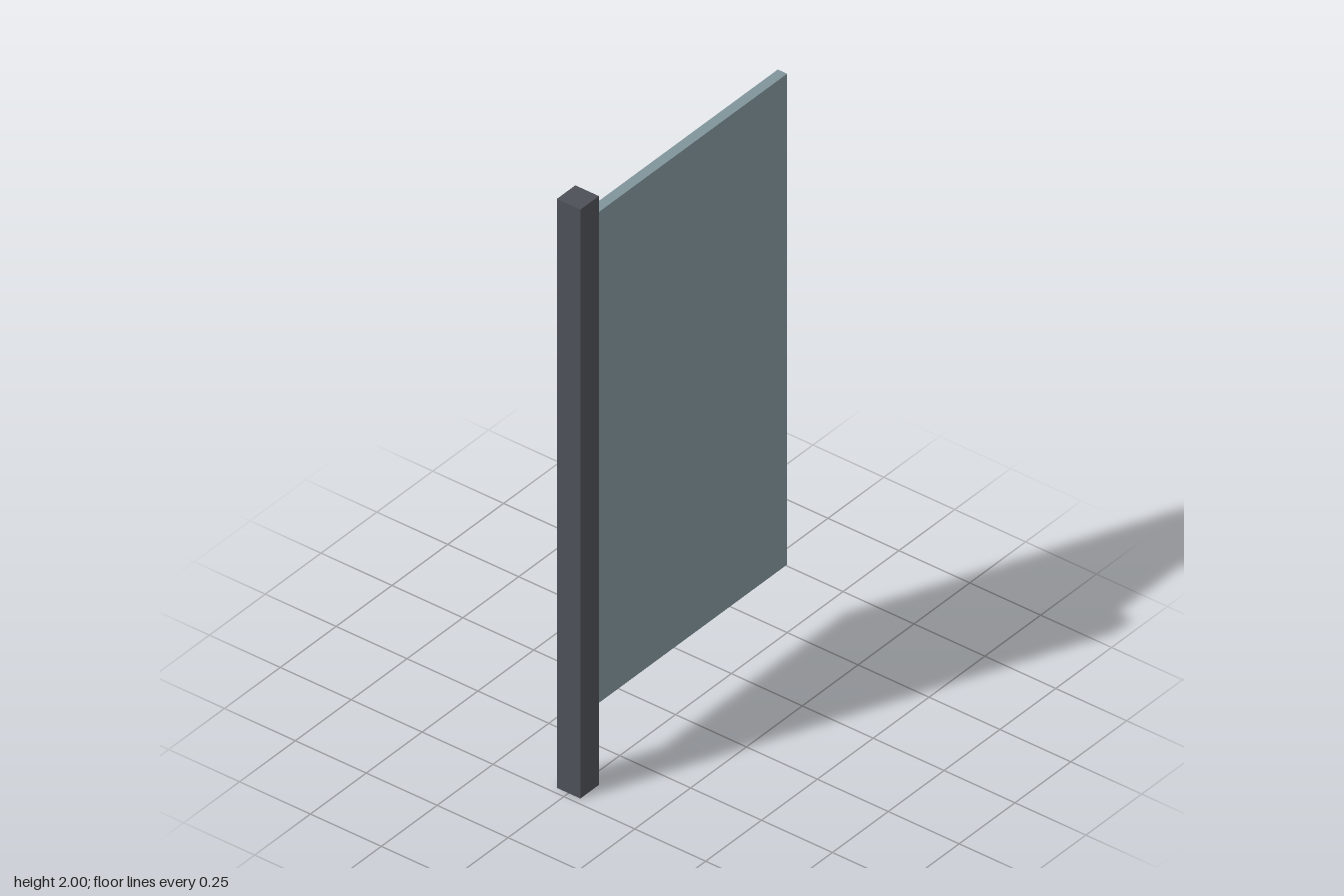
import * as THREE from 'three';

function material(name, color) {
  const m = new THREE.MeshStandardMaterial({ color });
  m.name = name;
  return m;
}

function box(name, size, position, mat) {
  const mesh = new THREE.Mesh(new THREE.BoxGeometry(...size), mat);
  mesh.name = name;
  mesh.position.set(...position);
  return mesh;
}

export function createModel() {
  const group = new THREE.Group();
  group.name = 'postWithPanel';
  const postGrey = material('dark post grey', 0x4d5057);
  const panelBlue = material('blue grey panel', 0x80949a);

  // Dimensions: square post at the front, thin panel running back from it
  const height = 2, postWidth = 0.083, depth = 0.958;
  const panelBottom = 0.25, panelTop = 1.917, panelThickness = 0.033;
  const panelDepth = depth - postWidth;
  const panelHeight = panelTop - panelBottom;

  group.add(box('post', [postWidth, height, postWidth],
    [0, height / 2, (depth - postWidth) / 2], postGrey));
  group.add(box('panel', [panelThickness, panelHeight, panelDepth],
    [0, (panelBottom + panelTop) / 2, -postWidth / 2], panelBlue));
  return group;
}
